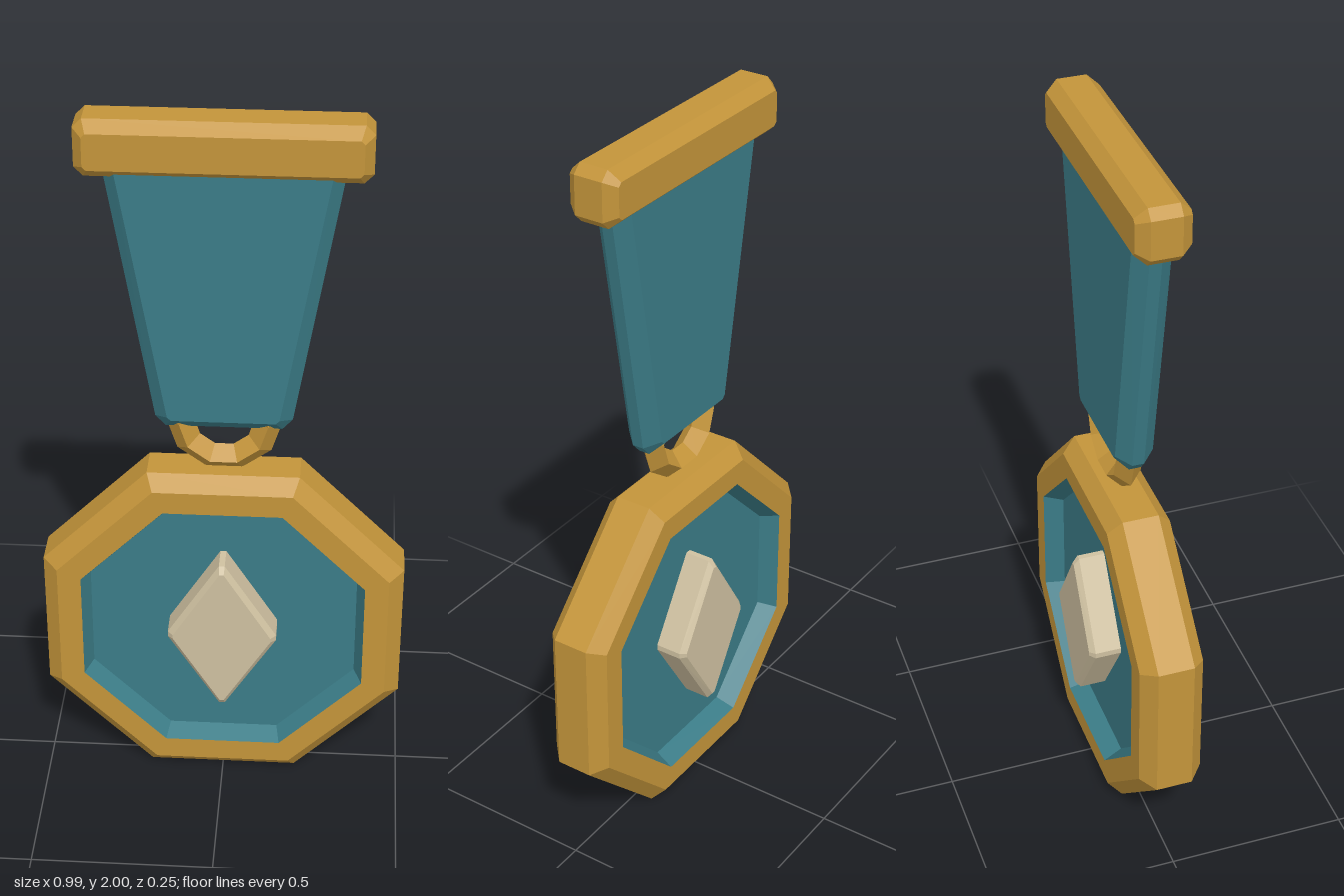
import * as THREE from 'three';
import { ConvexGeometry } from 'three/addons/geometries/ConvexGeometry.js';

const material = (name, color) => {
  const m = new THREE.MeshStandardMaterial({ color });
  m.name = name;
  return m;
};

// Hard-edged facets for the low-poly look
function faceted(geometry) {
  const g = geometry.index ? geometry.toNonIndexed() : geometry;
  g.computeVertexNormals();
  return g;
}

// Convex plate: wide outline around the edge, smaller outline on front and back
function bevelledPlate(edge, edgeZ, face, faceZ) {
  const points = [];
  for (const [outline, z] of [[edge, edgeZ], [face, faceZ]])
    for (const [x, y] of outline)
      for (const sx of [-1, 1])
        for (const sz of [-1, 1]) points.push(new THREE.Vector3(sx * x, y, sz * z));
  return faceted(new ConvexGeometry(points));
}

// Octagonal turning around z; profile is [apothem, z] from back to front
function octagon(profile) {
  const k = 1 / Math.cos(Math.PI / 8);
  const points = profile.map(([r, z]) => new THREE.Vector2(r * k, z));
  return faceted(new THREE.LatheGeometry(points, 8, Math.PI / 8).rotateX(Math.PI / 2));
}

// Right half of a rectangle with cut corners
const cutRect = (w, y0, y1, c) => [[w - c, y0], [w, y0 + c], [w, y1 - c], [w - c, y1]];

// Right half of a rhombus with slightly blunted tips
const rhombus = (w, h, b) => [[b, h], [w, b], [w, -b], [b, -h]];

export function createModel() {
  const gold = material('gold', 0xc3943a);
  const teal = material('teal', 0x3b7c87);
  const ivory = material('ivory', 0xcec0a0);

  const group = new THREE.Group();
  const add = (name, geometry, mat, y = 0) => {
    const mesh = new THREE.Mesh(geometry, mat);
    mesh.name = name;
    mesh.position.y = y;
    group.add(mesh);
  };

  // Medal disc: gold rim, sunken enamel on both sides, raised gem
  const centre = 0.495;
  add('rim', octagon([
    [0.39, -0.088], [0.455, -0.088], [0.495, -0.05],
    [0.495, 0.05], [0.455, 0.088], [0.39, 0.088],
  ]), gold, centre);
  add('enamel', octagon([
    [0, -0.035], [0.368, -0.035], [0.39, -0.088],
    [0.39, 0.088], [0.368, 0.035], [0, 0.035],
  ]), teal, centre);
  add('gem', bevelledPlate(
    rhombus(0.15, 0.235, 0.008), 0.108,
    rhombus(0.135, 0.215, 0.006), 0.123,
  ), ivory, 0.498);

  // Hanging ring, its upper half hidden in the ribbon
  add('hangingRing', faceted(new THREE.TorusGeometry(0.118, 0.038, 4, 10)), gold, 1.135);

  // Tapering ribbon
  add('ribbon', bevelledPlate(
    [[0.31, 1.9], [0.182, 1.15], [0.155, 1.12]], 0.016,
    [[0.277, 1.9], [0.148, 1.165], [0.138, 1.155]], 0.052,
  ), teal);

  // Top bar
  add('topBar', bevelledPlate(
    cutRect(0.37, 1.848, 2, 0.024), 0.04,
    cutRect(0.345, 1.875, 1.972, 0.01), 0.071,
  ), gold);

  return group;
}
